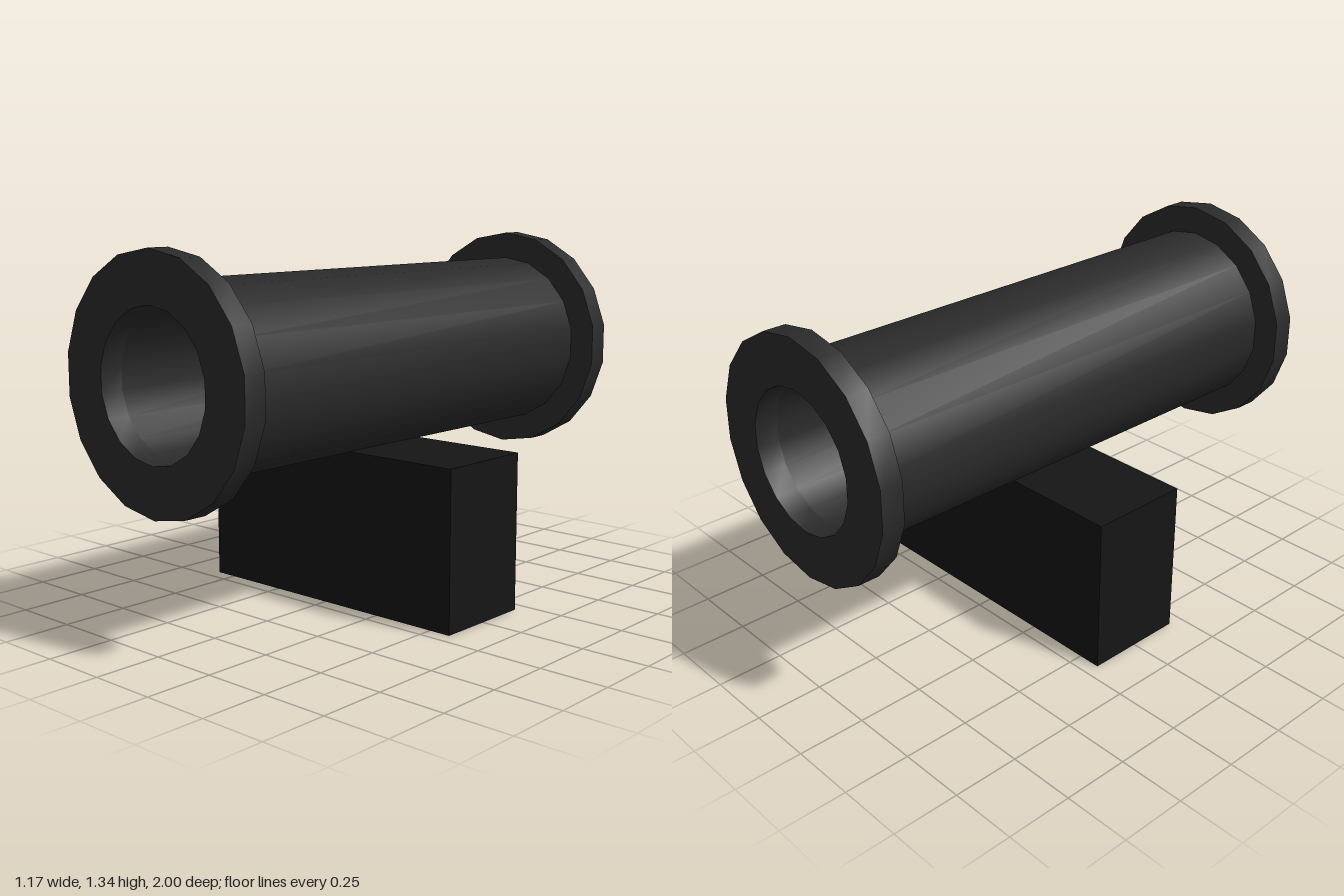
import * as THREE from 'three';
import { toCreasedNormals } from 'three/addons/utils/BufferGeometryUtils.js';

const SIDES = 18;
const AXIS_Y = 0.9;
const pipeMaterial = new THREE.MeshStandardMaterial({ color: 0x2a2a2a });
const baseMaterial = new THREE.MeshStandardMaterial({ color: 0x151515 });

// Turns a profile of [radius, z] points around the pipe axis, keeping edges sharp
function turned(name, profile) {
  const lathe = new THREE.LatheGeometry(profile.map(([r, z]) => new THREE.Vector2(r, z)), SIDES);
  lathe.rotateX(Math.PI / 2);
  const mesh = new THREE.Mesh(toCreasedNormals(lathe, 0.7), pipeMaterial);
  mesh.name = name;
  mesh.position.y = AXIS_Y;
  return mesh;
}

export function createModel() {
  const group = new THREE.Group();
  group.name = 'pipeOnBase';

  // Pipe wall: outside, then the bore, slightly narrower in the middle
  group.add(turned('pipeOuterWall', [[0.337, -0.915], [0.337, 0.915]]));
  group.add(turned('pipeBore', [[0.259, 0.915], [0.251, 0], [0.259, -0.915]]));

  // End flanges: back face, rim, front face and bore lip
  const flange = [[0.337, 0.915], [0.44, 0.915], [0.44, 1], [0.26, 1], [0.259, 0.915]];
  group.add(turned('frontFlange', flange));
  group.add(turned('backFlange', flange.map(([r, z]) => [r, -z]).reverse()));

  // Base block under the middle of the pipe
  const base = new THREE.Mesh(new THREE.BoxGeometry(1.17, 0.587, 0.39), baseMaterial);
  base.name = 'base';
  base.position.y = 0.587 / 2;
  group.add(base);

  return group;
}
